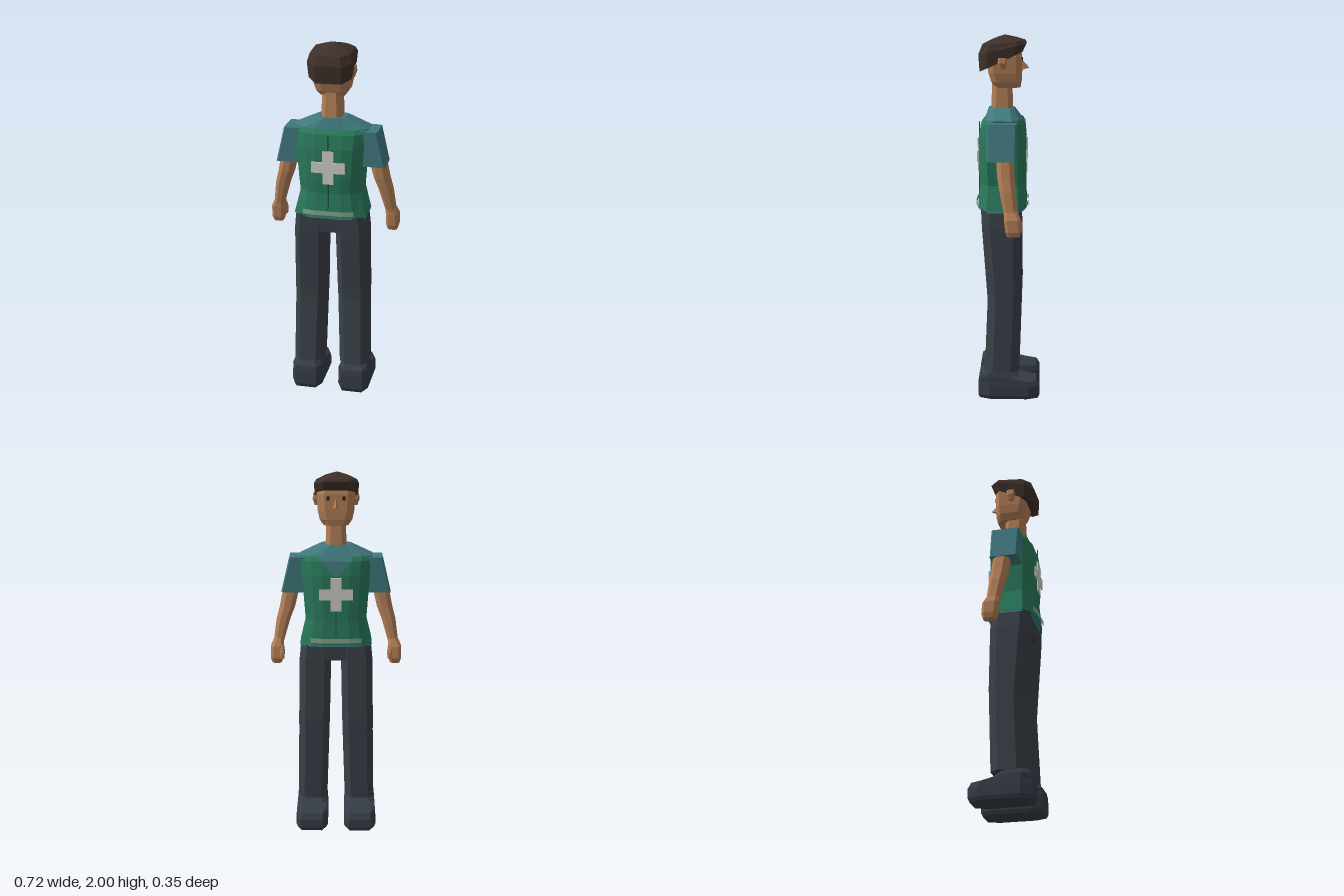
import * as THREE from 'three';
import { ConvexGeometry } from 'three/addons/geometries/ConvexGeometry.js';

const material = (name, color) => {
  const m = new THREE.MeshStandardMaterial({ color });
  m.name = name;
  return m;
};

// Eight-sided ring; y may be [at z0, at z1] for a tilted ring
function ring(y, x0, x1, z0, z1, cx = 0.03, cz = cx) {
  const pts = [[x1, z1 - cz], [x1, z0 + cz], [x1 - cx, z0], [x0 + cx, z0],
    [x0, z0 + cz], [x0, z1 - cz], [x0 + cx, z1], [x1 - cx, z1]];
  return pts.map(([x, z]) => [x, Array.isArray(y) ? y[0] + (y[1] - y[0]) * (z - z0) / (z1 - z0) : y, z]);
}

// Twelve-sided ring for the rounded chest
function chestRing(y, w, z0, z1) {
  const a = w * 0.7, b = w * 0.4;
  return [[w, z1 - 0.05], [w, z0 + 0.045], [a, z0 + 0.012], [b, z0], [-b, z0], [-a, z0 + 0.012],
    [-w, z0 + 0.045], [-w, z1 - 0.05], [-a, z1 - 0.012], [-b, z1], [b, z1], [a, z1 - 0.012]]
    .map(([x, z]) => [x, y, z]);
}

// Faceted geometry from triangles, optionally mirrored across x
function facets(tris, mirror = false) {
  const pos = [];
  for (const [a, b, c] of tris) {
    for (const p of mirror ? [a, c, b] : [a, b, c]) pos.push(mirror ? -p[0] : p[0], p[1], p[2]);
  }
  const g = new THREE.BufferGeometry();
  g.setAttribute('position', new THREE.Float32BufferAttribute(pos, 3));
  g.computeVertexNormals();
  return g;
}

// Skin rings from bottom to top and cap both ends
function loft(rings, mirror = false) {
  const tris = [], n = rings[0].length;
  const mid = r => [0, 1, 2].map(k => r.reduce((s, p) => s + p[k], 0) / n);
  const low = rings[0], high = rings[rings.length - 1];
  const lowMid = mid(low), highMid = mid(high);
  for (let i = 0; i < n; i++) {
    const j = (i + 1) % n;
    for (let k = 0; k + 1 < rings.length; k++) {
      const a = rings[k], b = rings[k + 1];
      tris.push([a[i], a[j], b[j]], [a[i], b[j], b[i]]);
    }
    tris.push([lowMid, low[j], low[i]], [highMid, high[i], high[j]]);
  }
  return facets(tris, mirror);
}

export function createModel() {
  const skin = material('skin', 0xb58058);
  const hairBrown = material('hair brown', 0x3e3029);
  const shirtTeal = material('shirt teal', 0x40797d);
  const vestGreen = material('vest green', 0x2a7a5c);
  const seamGreen = material('seam green', 0x1d5544);
  const crossWhite = material('cross white', 0xcfcfc6);
  const stripGreen = material('reflective strip', 0x82a88e);
  const trouserGrey = material('trouser grey', 0x3a4149);
  const shoeGrey = material('shoe grey', 0x363c46);
  const dark = material('eye dark', 0x201a18);

  const model = new THREE.Group();
  model.name = 'figure';
  const add = (name, geometry, mat) => {
    const m = new THREE.Mesh(geometry, mat);
    m.name = name;
    model.add(m);
    return m;
  };
  const box = (name, w, h, d, x, y, z, mat) => {
    const m = add(name, new THREE.BoxGeometry(w, h, d), mat);
    m.position.set(x, y, z);
    return m;
  };

  // Limbs, mirrored left and right
  for (const mirror of [false, true]) {
    const side = mirror ? 'right' : 'left';
    add(side + 'Shoe', loft([
      ring(0, 0.052, 0.218, -0.172, 0.152, 0.027, 0.06),
      ring(0.02, 0.045, 0.225, -0.18, 0.16, 0.027, 0.06),
      ring(0.07, 0.045, 0.225, -0.18, 0.16, 0.027, 0.06),
      ring(0.102, 0.047, 0.222, -0.162, 0.16, 0.027, 0.06),
      ring([0.12, 0.135], 0.05, 0.22, -0.06, 0.154, 0.027, 0.04),
      ring(0.158, 0.06, 0.21, -0.005, 0.13, 0.03),
    ], mirror), shoeGrey);
    add(side + 'TrouserLeg', loft([
      ring(0.155, 0.05, 0.215, -0.065, 0.125, 0.035, 0.045),
      ring(0.56, 0.037, 0.208, -0.078, 0.108, 0.035, 0.045),
      ring(0.62, 0.035, 0.208, -0.08, 0.112, 0.035, 0.045),
      ring(0.97, 0.028, 0.203, -0.076, 0.138, 0.035, 0.045),
      ring(1.07, 0.02, 0.193, -0.072, 0.143, 0.035, 0.045),
    ], mirror), trouserGrey);
    add(side + 'Sleeve', loft([
      ring(1.352, 0.175, 0.3, -0.05, 0.105, 0.008),
      ring(1.546, 0.14, 0.255, -0.052, 0.107, 0.008),
    ], mirror), shirtTeal);
    add(side + 'Arm', loft([
      ring(1.07, 0.29, 0.345, -0.058, 0.012, 0.016),
      ring(1.2, 0.252, 0.328, -0.048, 0.038, 0.022),
      ring(1.27, 0.225, 0.31, -0.042, 0.05, 0.024),
      ring(1.42, 0.19, 0.28, -0.035, 0.06, 0.025),
    ], mirror), skin);
    add(side + 'Hand', loft([
      ring(0.958, 0.3, 0.352, -0.072, -0.005, 0.012),
      ring(0.985, 0.292, 0.36, -0.08, 0.005, 0.015),
      ring(1.05, 0.29, 0.36, -0.075, 0.012, 0.015),
      ring(1.095, 0.288, 0.34, -0.056, 0.012, 0.015),
    ], mirror), skin);
    add(side + 'Thumb', loft([
      ring(0.985, 0.286, 0.308, -0.084, -0.058, 0.006),
      ring(1.02, 0.282, 0.31, -0.084, -0.052, 0.007),
      ring(1.06, 0.288, 0.31, -0.07, -0.04, 0.006),
    ], mirror), skin);
    add(side + 'Ear', loft([
      ring(1.822, 0.09, 0.116, 0.012, 0.042, 0.008),
      ring(1.855, 0.09, 0.127, 0.002, 0.052, 0.01),
      ring(1.885, 0.09, 0.124, 0.002, 0.052, 0.01),
    ], mirror), skin);
    const s = mirror ? -1 : 1;
    box(side + 'Eye', 0.016, 0.022, 0.006, s * 0.042, 1.868, -0.077, dark);
  }

  // Hips and shirt
  add('hips', loft([
    ring(0.97, -0.115, 0.115, -0.068, 0.135, 0.02),
    ring(1.075, -0.185, 0.185, -0.073, 0.143, 0.04),
  ]), trouserGrey);
  add('shirtHem', loft([
    chestRing(1.055, 0.196, -0.095, 0.153),
    chestRing(1.09, 0.188, -0.092, 0.15),
  ]), shirtTeal);
  add('shirtYoke', loft([
    chestRing(1.5, 0.188, -0.078, 0.13),
    chestRing(1.554, 0.2, -0.072, 0.124),
    chestRing(1.61, 0.08, -0.035, 0.105).map(([x, y, z]) => [x, y, Math.abs(x) > 0.07 ? (z > 0.035 ? 0.075 : -0.01) : z]),
  ]), shirtTeal);

  // Vest
  add('vest', loft([
    chestRing(1.066, 0.198, -0.105, 0.163),
    chestRing(1.2, 0.166, -0.1, 0.152),
    chestRing(1.28, 0.172, -0.1, 0.158),
    chestRing(1.45, 0.185, -0.1, 0.158),
    chestRing(1.53, 0.195, -0.09, 0.145),
    chestRing(1.553, 0.196, -0.076, 0.128),
  ]), vestGreen);
  const L = 0.085;
  const v = [[0, 1.445, -0.104], [-L, 1.53, -0.094], [L, 1.53, -0.094], [-L, 1.558, -0.077], [L, 1.558, -0.077]];
  add('neckOpening', facets([[v[0], v[1], v[2]], [v[1], v[3], v[4]], [v[1], v[4], v[2]]]), shirtTeal);

  // Centre seams, crosses and reflective strips on both faces
  const cross = new THREE.Shape();
  const a = 0.03, b = 0.092;
  [[a, b], [a, a], [b, a], [b, -a], [a, -a], [a, -b], [-a, -b], [-a, -a], [-b, -a], [-b, a], [-a, a], [-a, b]]
    .forEach(([x, y], i) => (i ? cross.lineTo(x, y) : cross.moveTo(x, y)));
  for (const [face, z, hemZ, dir] of [['rear', 0.158, 0.163, 1], ['front', -0.1, -0.105, -1]]) {
    const c = add(face + 'Cross', new THREE.ExtrudeGeometry(cross, { depth: 0.007, bevelEnabled: false }), crossWhite);
    c.position.set(0, 1.35, dir > 0 ? z + 0.001 : z - 0.008);
    const top = dir > 0 ? 1.53 : 1.445;
    box(face + 'Seam', 0.007, top - 1.28, 0.006, 0, (top + 1.28) / 2, z, seamGreen);
    box(face + 'LowerSeam', 0.007, 0.2, 0.008, 0, 1.18, z - dir * 0.001, seamGreen);
    const zc = hemZ + dir * 0.009, ze = zc - dir * 0.013;
    const path = [[-0.14, ze], [-0.075, zc], [0.075, zc], [0.14, ze]];
    const tris = [];
    for (let i = 0; i < 3; i++) {
      const [p, q] = dir > 0 ? [path[i], path[i + 1]] : [path[i + 1], path[i]];
      const A = [p[0], 1.08, p[1]], B = [q[0], 1.08, q[1]], C = [q[0], 1.106, q[1]], D = [p[0], 1.106, p[1]];
      tris.push([A, B, C], [A, C, D], [A, C, B], [A, D, C]);
    }
    add(face + 'ReflectiveStrip', facets(tris), stripGreen);
  }

  // Neck, head and nose
  add('neck', loft([
    ring(1.58, -0.058, 0.058, -0.028, 0.092, 0.025),
    ring(1.76, -0.052, 0.052, -0.022, 0.085, 0.025),
  ]), skin);
  add('head', loft([
    ring(1.72, -0.066, 0.066, -0.068, 0.07, 0.03),
    ring(1.752, -0.088, 0.088, -0.074, 0.09, 0.04, 0.03),
    ring(1.8, -0.098, 0.098, -0.076, 0.105, 0.04, 0.03),
    ring(1.89, -0.105, 0.105, -0.075, 0.115, 0.04, 0.03),
    ring(1.945, -0.095, 0.095, -0.065, 0.1, 0.04, 0.03),
  ]), skin);
  add('nose', new ConvexGeometry([[0, 1.875, -0.07], [-0.02, 1.812, -0.07], [0.02, 1.812, -0.07], [0, 1.824, -0.116]]
    .map(p => new THREE.Vector3(...p))), skin);

  // Swept hair cap, higher at the brow and lower at the nape
  add('hair', loft([
    ring([1.915, 1.808], -0.115, 0.115, -0.08, 0.152, 0.045),
    ring([1.958, 1.9], -0.124, 0.118, -0.1, 0.158, 0.05),
    ring([1.972, 1.95], -0.112, 0.105, -0.092, 0.138, 0.045),
    ring([1.988, 1.982], -0.06, 0.055, -0.045, 0.075, 0.03),
    ring(2, -0.012, 0.002, 0.005, 0.025, 0.004),
  ]), hairBrown);

  return model;
}
